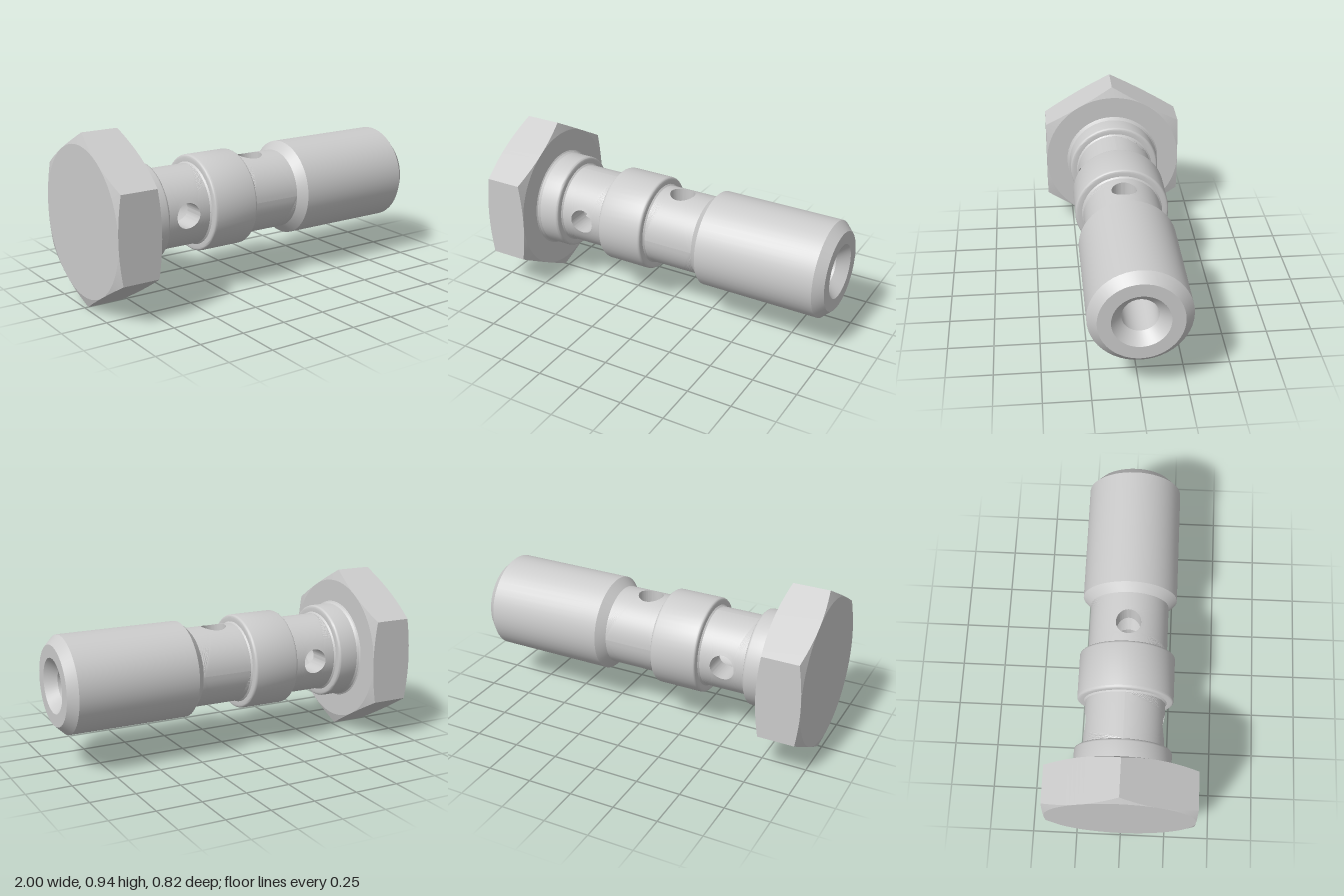
import * as THREE from 'three';
import { toCreasedNormals } from 'three/addons/utils/BufferGeometryUtils.js';

const AXIS_Y = 0.471;                 // height of the bolt axis
const NECK = 0.222, BODY = 0.268;     // outer radii
const BORE = 0.094, PORT = 0.07;      // inner bore and cross-hole radii
const APOTHEM = 0.408;                // half the width across the hex flats
const material = new THREE.MeshStandardMaterial({ color: 0xcccccc });

function addMesh(group, name, geometry, crease) {
  const mesh = new THREE.Mesh(toCreasedNormals(geometry, crease), material);
  mesh.name = name;
  group.add(mesh);
}

// Surface through rows of points, each row a closed loop
function loft(rows) {
  const n = rows[0].length, index = [];
  for (let i = 0; i < rows.length - 1; i++) {
    for (let j = 0; j < n; j++) {
      const k = (j + 1) % n;
      const a = i * n + j, b = a + n, c = (i + 1) * n + k, d = i * n + k;
      index.push(a, b, c, a, c, d);
    }
  }
  const g = new THREE.BufferGeometry();
  g.setAttribute('position', new THREE.Float32BufferAttribute(rows.flat(2), 3));
  g.setIndex(index);
  return g;
}

// Revolve [x, radius] points about the x axis
function turned(points) {
  const profile = points.map(([x, r]) => new THREE.Vector2(r, x));
  return new THREE.LatheGeometry(profile, 48).rotateZ(-Math.PI / 2);
}

const onCylinder = (x, r, angle) => [x, r * Math.cos(angle), r * Math.sin(angle)];

// Hexagon whose corners are trimmed by a shallow cone on both faces
function hexHead(x0, x1) {
  const ring = (fn) => Array.from({ length: 96 }, (_, j) => {
    const t = (j / 96) * Math.PI * 2;
    const local = (t % (Math.PI / 3)) - Math.PI / 6;
    const [x, r] = fn(APOTHEM / Math.cos(local));
    return onCylinder(x, r, t);
  });
  const drop = (r) => (r - APOTHEM) * 0.33;
  return loft([
    ring(() => [x1, 0]),
    ring(() => [x1, APOTHEM]),
    ring((r) => [x1 - drop(r), r]),
    ring((r) => [x0 + drop(r), r]),
    ring(() => [x0, APOTHEM]),
    ring(() => [x0, 0]),
  ]);
}

// Half of a hollow neck, pierced by a radial port at angle phi
function portedHalf(x0, x1, xc, phi) {
  const n = 24, steps = 12;
  const border = [];
  const corners = [[x0, -1], [x1, -1], [x1, 1], [x0, 1]];
  corners.forEach(([x, s], c) => {
    const [nx, ns] = corners[(c + 1) % 4];
    for (let i = 0; i < n; i++) {
      const t = i / n;
      border.push([x + (nx - x) * t, (s + (ns - s) * t) * Math.PI / 2]);
    }
  });
  const row = (radius, k) => border.map(([bx, ba], j) => {
    const t = -0.75 * Math.PI + (j / border.length) * Math.PI * 2;
    const hx = xc + PORT * Math.cos(t);
    const ha = Math.asin(PORT * Math.sin(t) / radius);
    return onCylinder(hx + (bx - hx) * k, radius, phi + ha + (ba - ha) * k);
  });
  const rows = [];
  for (let i = steps; i >= 0; i--) rows.push(row(NECK, i / steps));
  for (let i = 0; i <= steps; i++) rows.push(row(BORE, i / steps));
  return loft(rows);
}

// Rounded shoulder rising (dir 1) or falling (dir -1) at x
function shoulder(x, dir) {
  const r = 0.015;
  const pts = [[x - dir * 0.008, NECK], [x, NECK + 0.008]];
  for (let i = 0; i <= 4; i++) {
    const a = (i / 4) * Math.PI / 2;
    pts.push([x + dir * r * (1 - Math.cos(a)), BODY - r + r * Math.sin(a)]);
  }
  return dir > 0 ? pts : pts.reverse();
}

export function createModel() {
  const bolt = new THREE.Group();
  bolt.name = 'hollowBolt';
  const body = new THREE.Group();
  body.name = 'boltBody';
  body.position.y = AXIS_Y;
  bolt.add(body);

  addMesh(body, 'hexHead', hexHead(-1, -0.755), 0.25);

  // Collars and threaded shank
  addMesh(body, 'headCollar', turned([
    [-0.756, 0.284], [-0.75, 0.275], [-0.738, BODY], ...shoulder(-0.62, -1),
  ]), 0.45);
  addMesh(body, 'middleCollar', turned([
    ...shoulder(-0.345, 1), ...shoulder(-0.075, -1),
  ]), 0.45);
  addMesh(body, 'shank', turned([
    [0.225, NECK], [0.27, BODY], [0.95, BODY], [1, 0.22],
    [1, 0.15], [0.94, BORE], [0.225, BORE],
  ]), 0.35);

  // Necks with crossing ports: one through z, one through y
  const necks = [
    ['rearNeck', -0.612, -0.353, -0.485, Math.PI / 2],
    ['frontNeck', -0.067, 0.225, 0.052, 0],
  ];
  for (const [name, x0, x1, xc, phi] of necks) {
    for (const side of [0, 1]) {
      addMesh(body, name + (side + 1), portedHalf(x0, x1, xc, phi + side * Math.PI), 0.35);
    }
  }

  // Remaining bore walls and its drilled end
  addMesh(body, 'boreMiddle', turned([[-0.067, BORE], [-0.353, BORE]]), 0.35);
  addMesh(body, 'boreEnd', turned([[-0.612, BORE], [-0.665, 0]]), 0.35);
  return bolt;
}
